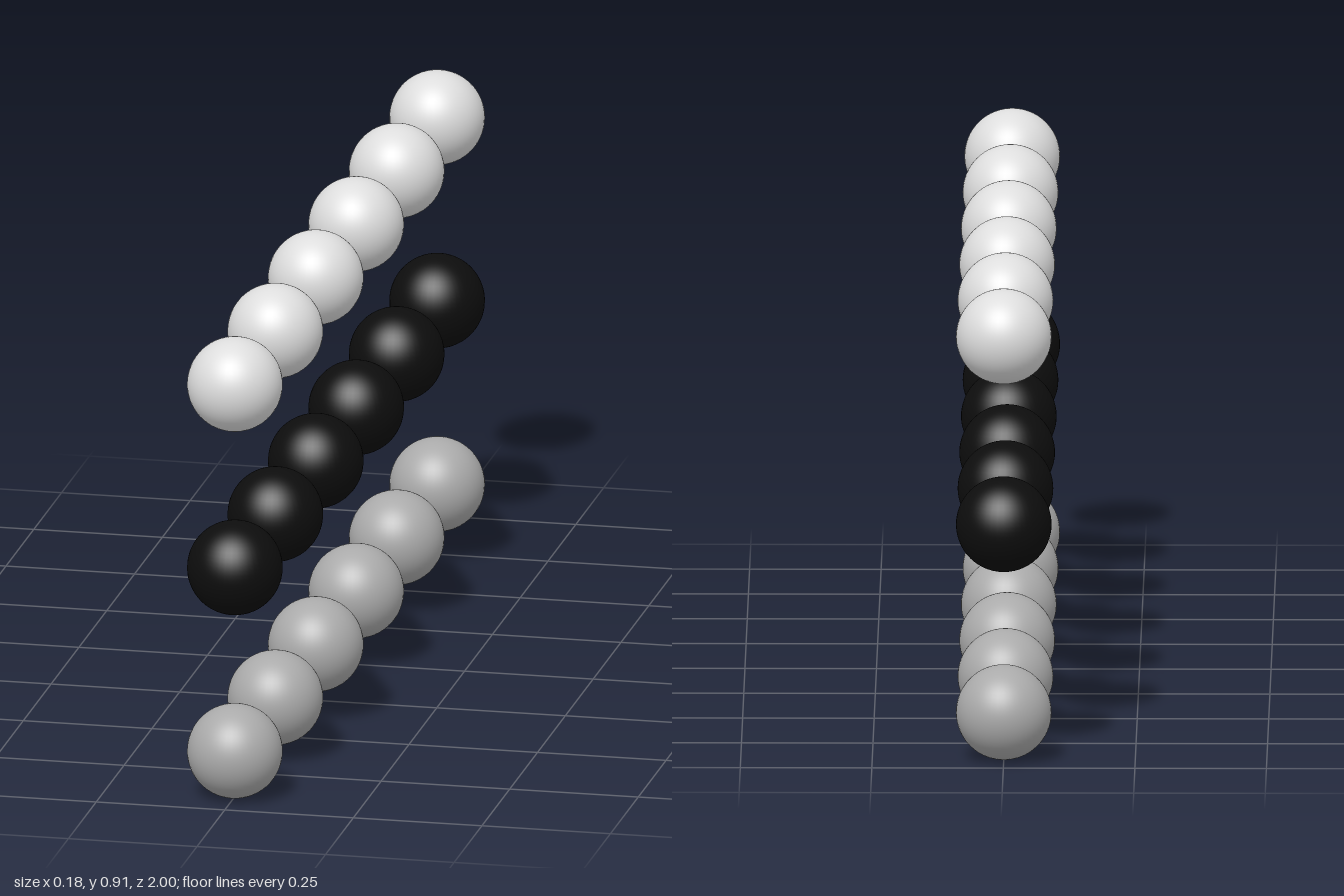
import * as THREE from 'three';

const RADIUS = 1 / 11;
const SPACING = 4 * RADIUS;
const COLUMNS = 6;

function flatColour(name, hex) {
  const material = new THREE.MeshStandardMaterial({ color: hex });
  material.name = name;
  return material;
}

export function createModel() {
  const model = new THREE.Group();
  model.name = 'ballGrid';
  const ball = new THREE.SphereGeometry(RADIUS, 48, 32);

  // Three rows of balls, from the bottom up
  const rows = [
    ['bottomRow', flatColour('midGrey', 0xaaaaaa)],
    ['middleRow', flatColour('black', 0x0d0d0d)],
    ['topRow', flatColour('lightGrey', 0xdddddd)],
  ];

  rows.forEach(([name, material], level) => {
    const row = new THREE.Group();
    row.name = name;
    row.position.y = RADIUS + level * SPACING;
    // Balls spaced evenly from back to front
    for (let i = 0; i < COLUMNS; i++) {
      const mesh = new THREE.Mesh(ball, material);
      mesh.name = `${name}Ball${i + 1}`;
      mesh.position.z = (i - (COLUMNS - 1) / 2) * SPACING;
      row.add(mesh);
    }
    model.add(row);
  });

  return model;
}
